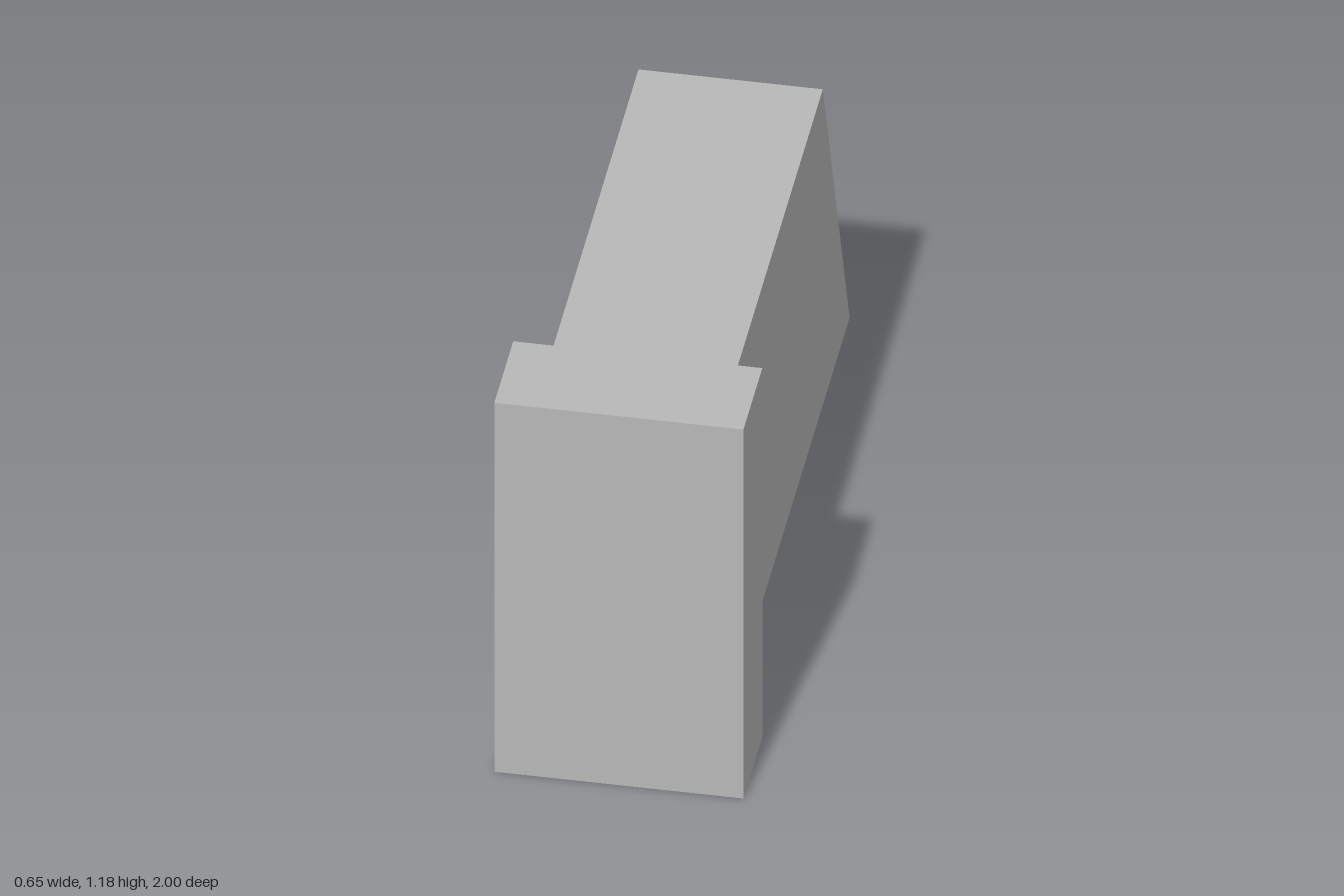
import * as THREE from 'three';

export function createModel() {
  const model = new THREE.Group();
  const grey = new THREE.MeshStandardMaterial({ color: 0xb8b8b8 });
  grey.name = 'grey';

  const jointZ = 0.727; // where the beam meets the end plate

  // Front end plate
  const plateDepth = 1 - jointZ;
  const plate = new THREE.Mesh(new THREE.BoxGeometry(0.654, 1.182, plateDepth), grey);
  plate.name = 'endPlate';
  plate.position.set(0, 0.591, jointZ + plateDepth / 2);
  model.add(plate);

  // Beam with a slanted rear end: side profile as (z, y), extruded across x
  const width = 0.484;
  const profile = new THREE.Shape([
    new THREE.Vector2(-1, 0.086),
    new THREE.Vector2(jointZ, 0.086),
    new THREE.Vector2(jointZ, 1.097),
    new THREE.Vector2(-0.613, 1.097),
  ]);
  const beamGeometry = new THREE.ExtrudeGeometry(profile, { depth: width, bevelEnabled: false });
  beamGeometry.translate(0, 0, -width / 2).rotateY(-Math.PI / 2);
  const beam = new THREE.Mesh(beamGeometry, grey);
  beam.name = 'slantedBeam';
  model.add(beam);

  return model;
}
